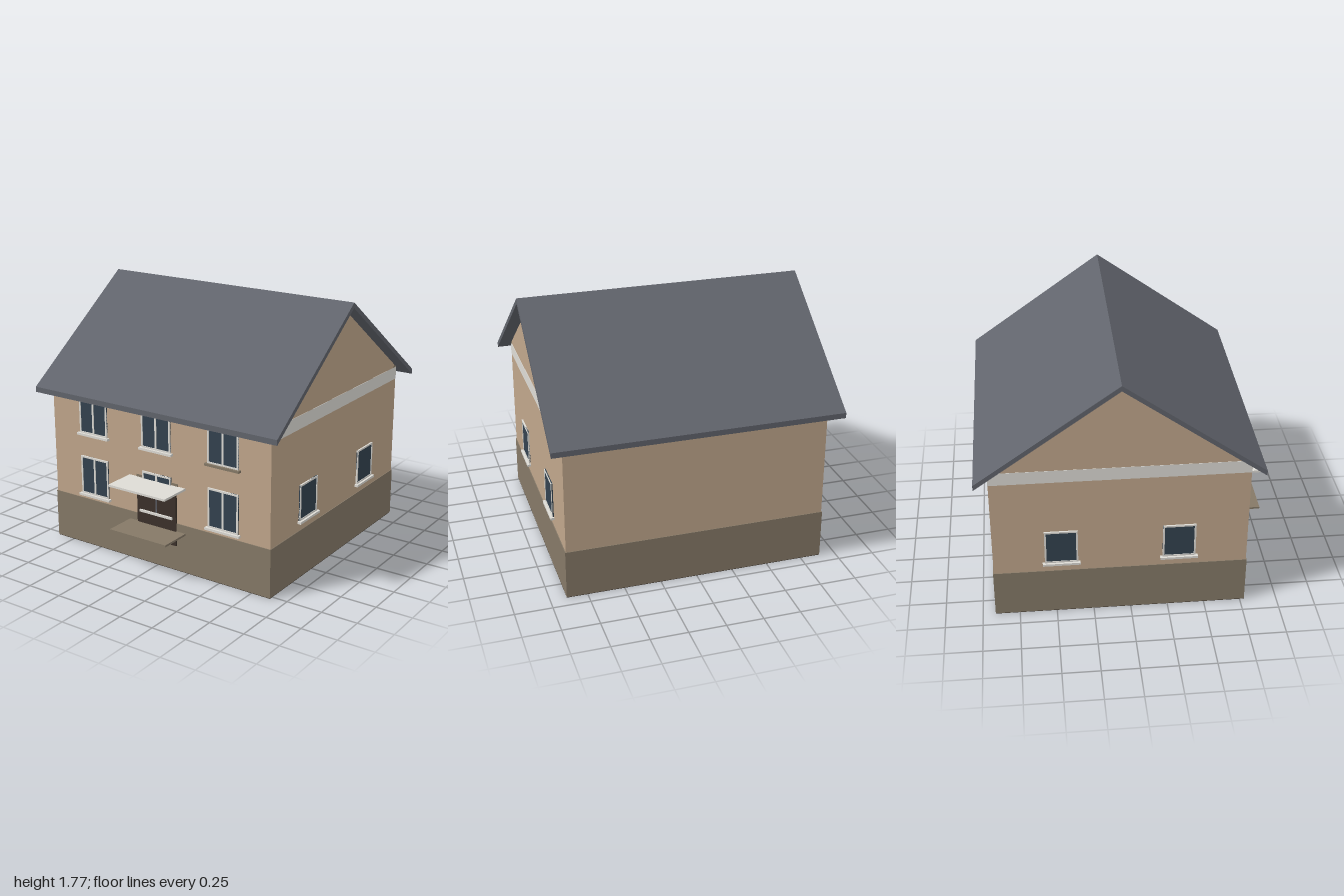
import * as THREE from 'three';

const mat = (name, color) => {
  const m = new THREE.MeshStandardMaterial({ color });
  m.name = name;
  return m;
};

export function createModel() {
  const wall = mat('plaster', 0xc0a68b);
  const stone = mat('stone', 0x857967);
  const trim = mat('trim', 0xdddbd5);
  const slate = mat('slate', 0x61646c);
  const glass = mat('glass', 0x33424f);
  const wood = mat('darkWood', 0x3b312a);
  const ground = mat('underside', 0x403730);

  const house = new THREE.Group();
  house.name = 'house';

  const add = (parent, name, geometry, material) => {
    const mesh = new THREE.Mesh(geometry, material);
    mesh.name = name;
    parent.add(mesh);
  };
  // Box given by its limits on each axis
  const box = (parent, name, material, x0, x1, y0, y1, z0, z1) => {
    const g = new THREE.BoxGeometry(x1 - x0, y1 - y0, z1 - z0);
    g.translate((x0 + x1) / 2, (y0 + y1) / 2, (z0 + z1) / 2);
    add(parent, name, g, material);
  };
  // Profile of [z, y] points extruded along x, centred
  const prism = (name, material, points, width) => {
    const shape = new THREE.Shape(points.map(([z, y]) => new THREE.Vector2(-z, y)));
    const g = new THREE.ExtrudeGeometry(shape, { depth: width, bevelEnabled: false });
    g.translate(0, 0, -width / 2).rotateY(Math.PI / 2);
    add(house, name, g, material);
  };

  // Stacked walls
  box(house, 'underside', ground, -0.89, 0.89, 0, 0.003, -0.915, 0.78);
  box(house, 'plinth', stone, -0.89, 0.89, 0.003, 0.34, -0.915, 0.78);
  box(house, 'walls', wall, -0.885, 0.885, 0.34, 1.045, -0.91, 0.775);
  box(house, 'eavesBand', trim, -0.887, 0.887, 1.045, 1.135, -0.912, 0.777);
  prism('gables', wall, [[0.775, 1.135], [-0.07, 1.742], [-0.91, 1.142], [-0.91, 1.135]], 1.77);

  // Roof: chevron profile with plumb-cut eaves
  prism('roof', slate, [
    [0.855, 1.073], [0.855, 1.11], [-0.07, 1.775],
    [-1, 1.11], [-1, 1.073], [-0.07, 1.738],
  ], 1.945);

  // Timber ends under the ridge and at the eaves corners
  prism('ridgeBeam', stone, [[-0.03, 1.706], [-0.07, 1.736], [-0.11, 1.706], [-0.07, 1.695]], 1.776);
  prism('frontWallPlate', stone, [[0.77, 1.135], [0.735, 1.158], [0.73, 1.135]], 1.776);
  prism('backWallPlate', stone, [[-0.905, 1.135], [-0.875, 1.16], [-0.865, 1.135]], 1.776);

  // Window standing on y = 0, facing +z
  const makeWindow = (name, w, h, divided, sill = trim) => {
    const g = new THREE.Group();
    g.name = name;
    const r = w / 2, t = 0.012;
    box(g, 'pane', glass, -r, r, 0, h, -0.005, 0.005);
    for (const s of [-1, 1]) {
      const x = s * (r - t / 2);
      box(g, 'frameSide', trim, x - t / 2, x + t / 2, 0, h, -0.005, 0.009);
    }
    box(g, 'frameTop', trim, -r, r, h - t, h, -0.005, 0.009);
    box(g, 'frameBottom', trim, -r, r, 0, t, -0.005, 0.009);
    if (divided) box(g, 'mullion', trim, -0.007, 0.007, 0, h, -0.005, 0.009);
    box(g, 'sill', sill, -r - 0.015, r + 0.015, -0.015, 0.001, -0.005, 0.024);
    house.add(g);
    return g;
  };

  // Two rows of three front windows, one upper sill left as bare stone
  for (const x of [-0.53, 0, 0.53]) {
    makeWindow('lowerFrontWindow', 0.235, 0.275, true).position.set(x, 0.38, 0.777);
    makeWindow('upperFrontWindow', 0.235, 0.275, true, x > 0.1 ? stone : trim)
      .position.set(x, 0.823, 0.777);
  }
  // Two windows on each gable side
  for (const side of [-1, 1]) {
    for (const z of [0.32, -0.46]) {
      const w = makeWindow('sideWindow', 0.22, 0.25, false);
      w.position.set(side * 0.887, 0.41, z);
      w.rotation.y = side * Math.PI / 2;
    }
  }

  // Entrance: door with a centre strip, canopy and step
  box(house, 'door', wood, -0.16, 0.16, 0.18, 0.57, 0.77, 0.789);
  box(house, 'doorStrip', slate, -0.005, 0.005, 0.38, 0.57, 0.785, 0.791);
  box(house, 'doorLintel', stone, -0.17, 0.17, 0.565, 0.62, 0.77, 0.778);
  box(house, 'canopy', trim, -0.23, 0.23, 0.588, 0.603, 0.77, 1);
  box(house, 'entranceStep', stone, -0.23, 0.23, 0.27, 0.284, 0.77, 1);

  return house;
}
